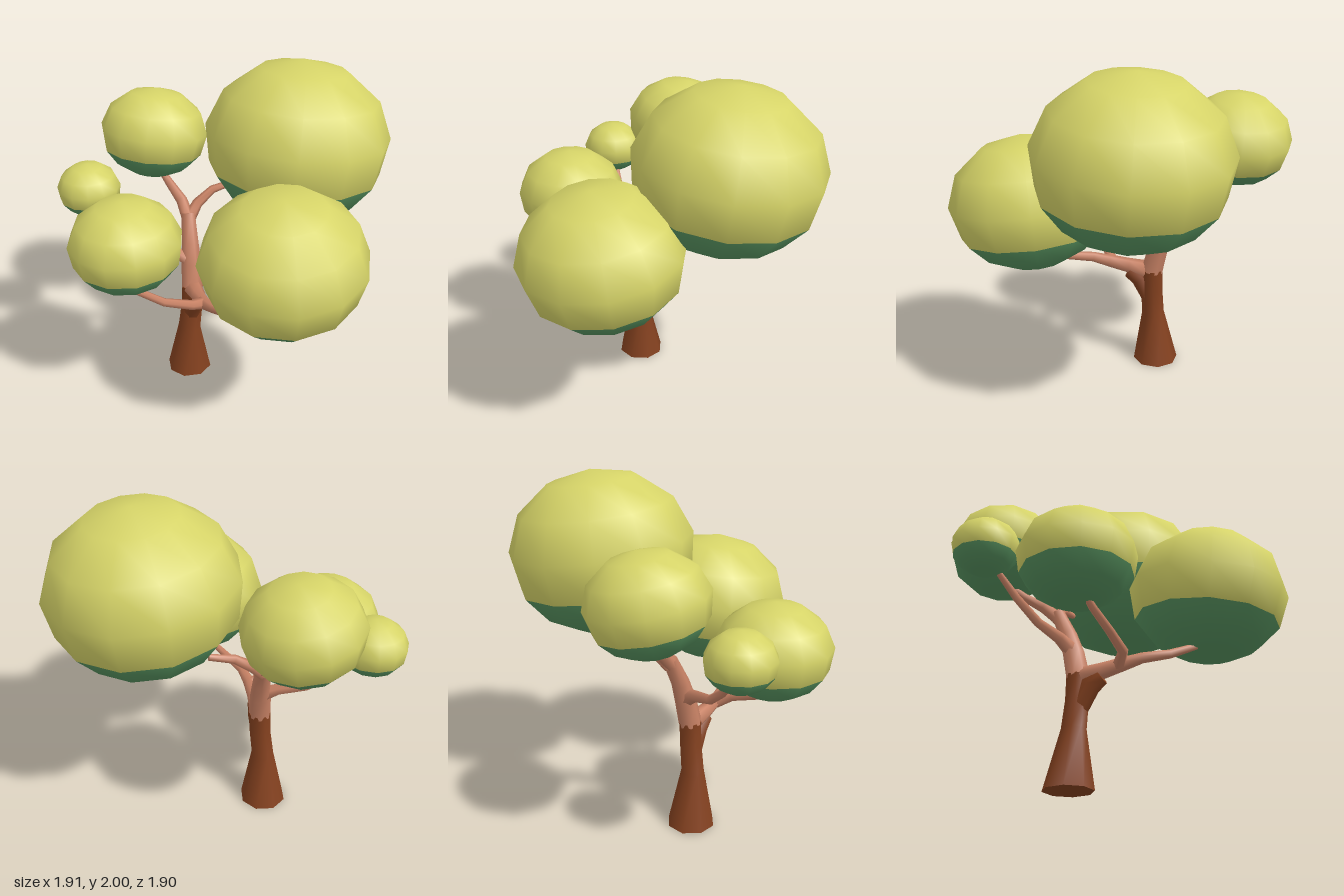
import * as THREE from 'three';

const material = (name, color, side = THREE.FrontSide) => {
  const m = new THREE.MeshStandardMaterial({ color, side });
  m.name = name;
  return m;
};

// Tapered limb through points [x, y, z, radius], closed at both ends
function limbGeometry(points, sides) {
  const centres = points.map(p => new THREE.Vector3(p[0], p[1], p[2]));
  const positions = [], index = [];
  const u = new THREE.Vector3(0.31, 0.17, 0.93);
  const n = points.length;
  centres.forEach((c, i) => {
    const t = centres[Math.min(i + 1, n - 1)].clone().sub(centres[Math.max(i - 1, 0)]).normalize();
    // Keep the lowest ring level with the ground
    if (c.y === 0) t.set(0, 1, 0);
    u.addScaledVector(t, -u.dot(t)).normalize();
    const v = t.clone().cross(u);
    for (let k = 0; k < sides; k++) {
      const a = k / sides * Math.PI * 2;
      const p = c.clone()
        .addScaledVector(u, Math.cos(a) * points[i][3])
        .addScaledVector(v, Math.sin(a) * points[i][3]);
      positions.push(p.x, p.y, p.z);
    }
  });
  for (let i = 0; i < n - 1; i++) {
    for (let k = 0; k < sides; k++) {
      const a = i * sides + k, b = i * sides + (k + 1) % sides;
      index.push(a, b, b + sides, a, b + sides, a + sides);
    }
  }
  // End caps use their own vertices so the rims stay sharp
  for (const end of [0, n - 1]) {
    const start = positions.length / 3;
    positions.push(...positions.slice(end * sides * 3, (end + 1) * sides * 3));
    for (let k = 1; k < sides - 1; k++) {
      if (end === 0) index.push(start, start + k + 1, start + k);
      else index.push(start, start + k, start + k + 1);
    }
  }
  const g = new THREE.BufferGeometry();
  g.setAttribute('position', new THREE.Float32BufferAttribute(positions, 3));
  g.setIndex(index);
  g.computeVertexNormals();
  return g;
}

export function createModel() {
  const bark = material('dark bark', 0x84411f);
  const wood = material('light wood', 0xc88265);
  const sunny = material('yellow foliage', 0xd6d468);
  const shade = material('green foliage', 0x57925f);

  const tree = new THREE.Group();
  tree.name = 'tree';

  const limb = (name, mat, sides, points) => {
    const mesh = new THREE.Mesh(limbGeometry(points, sides), mat);
    mesh.name = name;
    tree.add(mesh);
  };

  // Trunk with the flare that carries the front bough
  limb('trunk', bark, 8, [
    [-0.26, 0, -0.19, 0.14], [-0.255, 0.33, -0.17, 0.07],
    [-0.235, 0.5, -0.165, 0.066], [-0.23, 0.64, -0.165, 0.066]]);
  limb('trunkFlare', bark, 7, [
    [-0.24, 0.45, -0.15, 0.055], [-0.23, 0.57, -0.09, 0.058], [-0.225, 0.615, -0.02, 0.045]]);

  // Main stem and its boughs
  limb('mainStem', wood, 7, [
    [-0.23, 0.63, -0.165, 0.067], [-0.225, 0.78, -0.2, 0.062],
    [-0.22, 0.9, -0.24, 0.052], [-0.21, 1.06, -0.32, 0.042]]);
  limb('largeCrownBough', wood, 6, [
    [-0.21, 1.02, -0.31, 0.04], [-0.14, 1.1, -0.36, 0.032],
    [-0.04, 1.17, -0.38, 0.025], [0.1, 1.2, -0.39, 0.018]]);
  limb('backBough', wood, 6, [
    [-0.21, 1.02, -0.3, 0.04], [-0.23, 1.11, -0.4, 0.034],
    [-0.28, 1.18, -0.51, 0.026], [-0.33, 1.26, -0.6, 0.018]]);
  limb('smallBough', wood, 6, [
    [-0.22, 0.79, -0.2, 0.05], [-0.32, 0.85, -0.24, 0.036],
    [-0.47, 0.89, -0.29, 0.027], [-0.6, 0.99, -0.35, 0.023], [-0.7, 1.11, -0.41, 0.017]]);
  limb('frontBough', wood, 6, [
    [-0.23, 0.63, -0.13, 0.058], [-0.225, 0.65, -0.02, 0.046], [-0.21, 0.675, 0.1, 0.038],
    [-0.18, 0.705, 0.2, 0.03], [-0.1, 0.735, 0.33, 0.025], [0.02, 0.81, 0.46, 0.018]]);
  limb('leftBough', wood, 6, [
    [-0.22, 0.67, 0.08, 0.038], [-0.3, 0.71, 0.14, 0.03],
    [-0.46, 0.76, 0.14, 0.025], [-0.6, 0.84, 0.11, 0.022], [-0.65, 0.9, 0.09, 0.017]]);

  // Flattened leaf balls: [name, centre, radius, half height, tilt x, tilt z, split height]
  const crowns = [
    ['largeCrown', [0.42, 1.53, -0.18], 0.54, 0.47, -0.07, -0.09, -0.36],
    ['frontCrown', [0.13, 1.16, 0.49], 0.465, 0.39, 0.12, 0.05, -0.44],
    ['leftCrown', [-0.64, 1.12, 0.035], 0.325, 0.27, 0, 0.01, -0.36],
    ['backCrown', [-0.34, 1.48, -0.63], 0.325, 0.27, -0.11, -0.14, -0.42],
    ['smallCrown', [-0.775, 1.24, -0.455], 0.187, 0.16, 0, 0, -0.36]];
  crowns.forEach(([name, centre, r, h, tiltX, tiltZ, split], i) => {
    const crown = new THREE.Group();
    crown.name = name;
    const theta = Math.acos(split);
    const spin = i * 0.7 + 0.2;
    const halves = [
      ['upperLeaves', sunny, 4, 0, theta],
      ['lowerLeaves', shade, 3, theta, Math.PI - theta]];
    for (const [part, mat, rings, start, length] of halves) {
      const g = new THREE.SphereGeometry(1, 12, rings, 0, Math.PI * 2, start, length);
      g.rotateY(spin);
      g.scale(r, h, r);
      const mesh = new THREE.Mesh(g, mat);
      mesh.name = part;
      crown.add(mesh);
    }
    crown.position.set(...centre);
    crown.rotation.set(tiltX, 0, tiltZ);
    tree.add(crown);
  });

  return tree;
}
